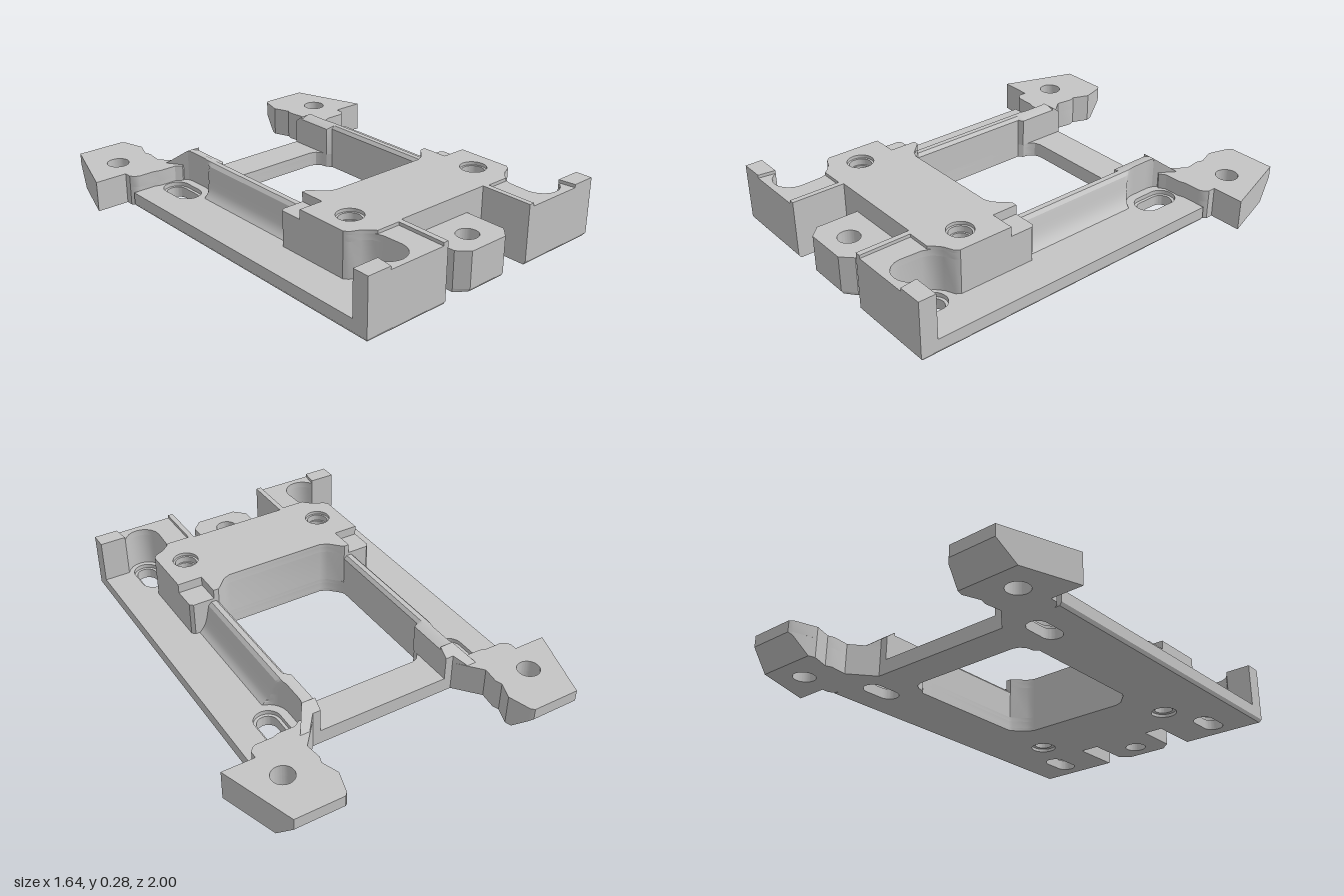
import * as THREE from 'three';
import { toCreasedNormals } from 'three/addons/utils/BufferGeometryUtils.js';

const grey = new THREE.MeshStandardMaterial({ color: 0xc4c4c4 });
grey.name = 'grey';

// Slot (or round hole when half = 0) lying in plan at x, z
function slot(x, z, r, half = 0) {
  const p = new THREE.Path();
  p.absarc(x, -z + half, r, 0, Math.PI, false);
  p.absarc(x, -z - half, r, Math.PI, Math.PI * 2, false);
  p.closePath();
  return p;
}

// Same hole on both sides of the centre line
const pair = (x, z, r, half) => [slot(x, z, r, half), slot(-x, z, r, half)];

// Complete a right-hand outline by reflecting it
const mirrored = (half) => [...half, ...half.map(([x, z]) => [-x, z]).reverse()];

// Plan outline of [x, z] points raised from y0 to y1
function slab(points, y0, y1, holes = []) {
  const shape = new THREE.Shape(points.map(([x, z]) => new THREE.Vector2(x, -z)));
  shape.holes.push(...holes);
  const geo = new THREE.ExtrudeGeometry(shape, { depth: y1 - y0, bevelEnabled: false, curveSegments: 16 });
  geo.rotateX(-Math.PI / 2);
  geo.translate(0, y0, 0);
  return geo;
}

// Move every vertex of a geometry by a rule
function reshape(geo, rule) {
  const p = geo.attributes.position;
  const v = new THREE.Vector3();
  for (let i = 0; i < p.count; i++) {
    v.fromBufferAttribute(p, i);
    rule(v);
    p.setXYZ(i, v.x, v.y, v.z);
  }
  return geo;
}

export function createModel() {
  const model = new THREE.Group();
  model.name = 'mountingBracket';
  const add = (name, geo) => {
    const mesh = new THREE.Mesh(toCreasedNormals(geo, 0.55), grey);
    mesh.name = name;
    model.add(mesh);
  };

  // Base plate in three layers, so that the holes are stepped
  const baseOutline = mirrored([
    [0.665, -0.575], [0.665, 1], [0.245, 1], [0.245, 0.75], [0.15, 0.75], [0.15, 0.95], [0.1, 1],
  ]);
  // The window runs anticlockwise, as a hole must
  const windowOutline = mirrored([
    [0.27, -0.405], [0.3, -0.395], [0.32, -0.37], [0.325, -0.34], [0.345, -0.32],
    [0.345, 0.28], [0.335, 0.298], [0.285, 0.35], [0.25, 0.365],
  ]).reverse();
  const windowHole = () => new THREE.Path(windowOutline.map(([x, z]) => new THREE.Vector2(x, -z)));
  const baseLayers = [
    [0, 0.015, 0.06, 0.048],
    [0.015, 0.05, 0.042, 0.048],
    [0.05, 0.07, 0.042, 0.062],
  ];
  for (const [y0, y1, screw, slotR] of baseLayers) {
    const layer = slab(baseOutline, y0, y1, [
      windowHole(),
      slot(0, 0.885, 0.05),
      ...pair(0.37, 0.585, screw),
      ...pair(0.46, 0.84, slotR, 0.045),
      ...pair(0.48, -0.45, slotR, 0.045),
    ]);
    // Small chamfer round the underside
    add('basePlate', reshape(layer, (v) => {
      if (v.y > 0.001) return;
      v.x = THREE.MathUtils.clamp(v.x, -0.655, 0.655);
      v.z = Math.min(v.z, 0.99);
    }));
  }

  // Centre tab at the front
  add('frontTab', slab(mirrored([[0.15, 0.75], [0.15, 0.95], [0.1, 1]]), 0.07, 0.185, [slot(0, 0.885, 0.05)]));

  // Front block with a rounded pocket beside each front slot
  const pocket = [[0.49, 0.675], [0.475, 0.695], [0.43, 0.715], [0.395, 0.745], [0.38, 0.785]];
  for (let i = 0; i <= 8; i++) {
    const a = Math.PI - (i / 8) * Math.PI * 0.78;
    pocket.push([0.46 + 0.085 * Math.cos(a), 0.885 + 0.085 * Math.sin(a)]);
  }
  const backEdge = [[0.25, 0.365], [0.285, 0.35], [0.335, 0.298], [0.345, 0.29]];
  const corner = [[0.475, 0.29], [0.49, 0.305]];
  const rabbet = [[0.37, 0.29], [0.37, 0.415], [0.49, 0.415]];
  const frontWall = [[0.54, 0.92], [0.665, 0.92], [0.665, 1], [0.245, 1], [0.245, 0.75]];
  const cheek = [[0.385, 0.76], [0.27, 0.76], [0.27, 1], [0.245, 1], [0.245, 0.75]];
  add('frontBlock', slab(mirrored([...backEdge, ...corner, ...pocket, ...frontWall]),
    0.07, 0.235, pair(0.37, 0.585, 0.042)));
  add('frontBlockShoulder', slab(mirrored([...backEdge, ...rabbet, ...pocket, ...frontWall]),
    0.235, 0.265, pair(0.37, 0.585, 0.05)));
  add('frontBlockTop', slab(mirrored([...backEdge, ...rabbet, ...pocket.slice(0, 4), ...cheek]),
    0.265, 0.28, pair(0.37, 0.585, 0.06)));

  for (const s of [1, -1]) {
    const side = s > 0 ? 'left' : 'right';
    const plan = (points) => points.map(([x, z]) => [s * x, z]);

    // Raised pad on the outer front corner
    add(side + 'CornerPad', slab(plan([[0.54, 0.92], [0.665, 0.92], [0.665, 1], [0.55, 1]]), 0.265, 0.28));

    // Side rail with a hollow outer flank
    const profile = new THREE.Shape();
    profile.moveTo(s * 0.345, 0.07);
    profile.lineTo(s * 0.345, 0.205);
    profile.lineTo(s * 0.36, 0.22);
    profile.lineTo(s * 0.385, 0.22);
    profile.lineTo(s * 0.4, 0.205);
    profile.bezierCurveTo(s * 0.415, 0.14, s * 0.415, 0.1, s * 0.455, 0.07);
    const rail = new THREE.ExtrudeGeometry(profile, { depth: 0.83, steps: 60, bevelEnabled: false, curveSegments: 10 });
    rail.translate(0, 0, -0.53);
    // The rail thickens inward at the back and is scooped out round the rear slot
    add(side + 'Rail', reshape(rail, (v) => {
      let x = Math.abs(v.x);
      if (v.z < -0.33 && x < 0.35) x = 0.322;
      const dz = v.z - THREE.MathUtils.clamp(v.z, -0.495, -0.405);
      if (Math.abs(dz) < 0.1) x = Math.min(x, 0.48 - Math.sqrt(0.01 - dz * dz));
      v.x = s * x;
    }));

    // Rear end of the rail, sloping down to the ear
    const railEnd = slab(plan([
      [0.322, -0.53], [0.386, -0.53], [0.45, -0.625], [0.405, -0.625], [0.36, -0.575], [0.322, -0.575],
    ]), 0.07, 0.22);
    add(side + 'RailEnd', reshape(railEnd, (v) => {
      if (v.y > 0.1) v.y = 0.22 + (v.z + 0.53) * 0.79;
    }));

    // Rear ear, with a wedge below its back edge
    const earFront = [
      [0.82, -0.64], [0.665, -0.64], [0.665, -0.605], [0.65, -0.585], [0.63, -0.575],
      [0.55, -0.575], [0.52, -0.565], [0.44, -0.565], [0.41, -0.545], [0.36, -0.575], [0.455, -0.69],
      [0.445, -0.77], [0.455, -0.8], [0.425, -0.88],
    ];
    const earBack = [[0.455, -0.985], [0.47, -1], [0.7, -1]];
    const earBreak = [[0.434, -0.91], [0.73, -0.91]];
    const hole = () => [slot(s * 0.62, -0.78, 0.052)];
    add(side + 'Ear', slab(plan([...earFront, ...earBack]), 0.09, 0.145, hole()));
    add(side + 'EarUnderside', slab(plan([...earFront, ...earBreak]), 0, 0.09, hole()));
    add(side + 'EarWedge', reshape(slab(plan([earBreak[0], ...earBack, earBreak[1]]), 0, 0.09), (v) => {
      if (v.y < 0.01) v.y = -0.91 - v.z;
    }));
  }
  return model;
}
